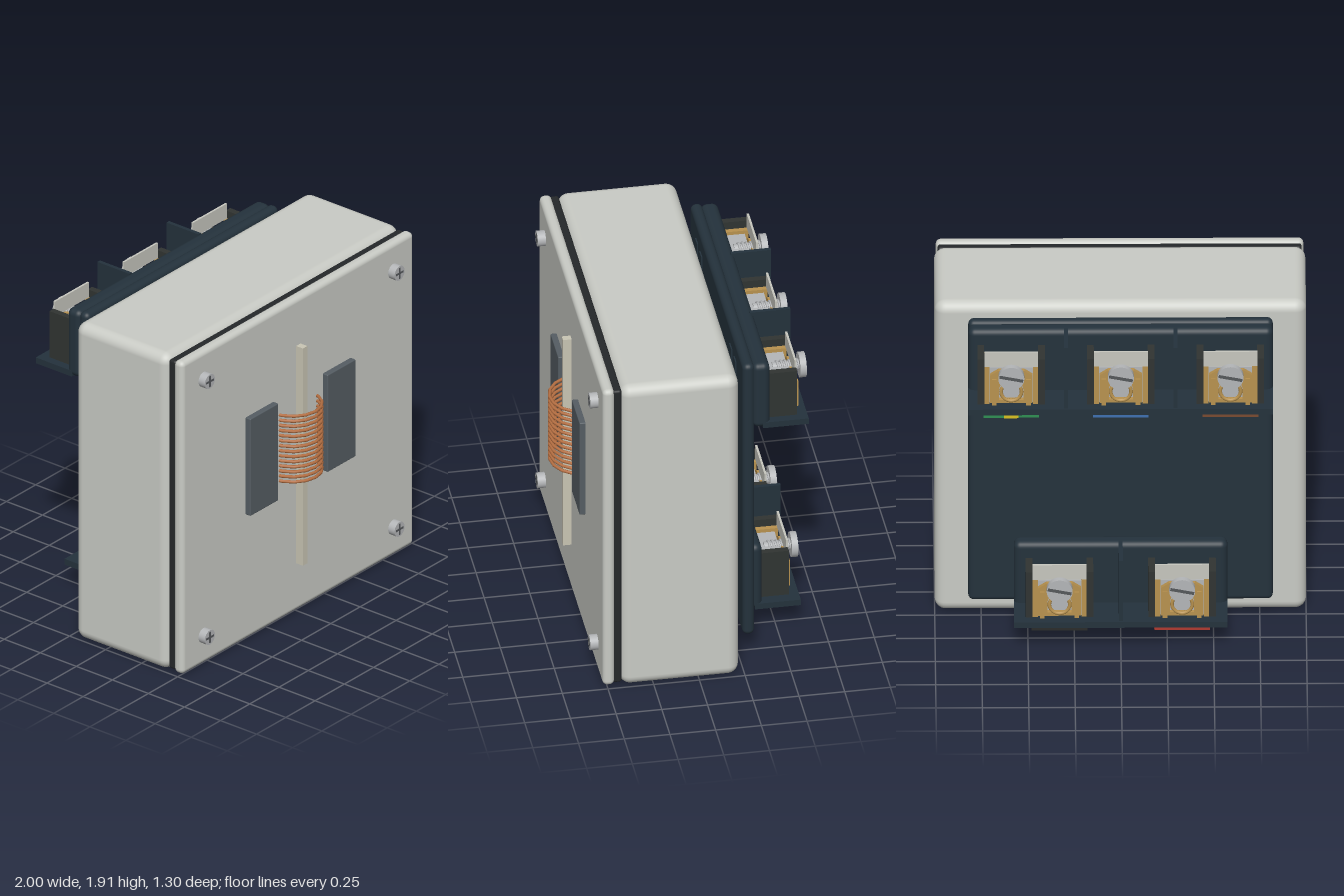
import * as THREE from 'three';
import { RoundedBoxGeometry } from 'three/addons/geometries/RoundedBoxGeometry.js';

const mat = (color) => new THREE.MeshStandardMaterial({ color });
const M = {
  shell: mat(0xc9cbc5), seal: mat(0x25282a), slate: mat(0x555d63), rod: mat(0xc9c5b4),
  copper: mat(0xb56f42), panel: mat(0x24323c), housing: mat(0x303432), brass: mat(0xb8924f),
  steel: mat(0xb4b6b8), slot: mat(0x55585b), label: mat(0xc6c6be), green: mat(0x2f8f52),
  yellow: mat(0xd8c020), blue: mat(0x3f70b0), brown: mat(0x7a4a30), black: mat(0x2a2c2a), red: mat(0xb03a30),
};

function add(parent, name, geometry, material, x = 0, y = 0, z = 0) {
  const mesh = new THREE.Mesh(geometry, material);
  mesh.name = name;
  mesh.position.set(x, y, z);
  parent.add(mesh);
  return mesh;
}

// Box given by its limits on each axis; r > 0 rounds the edges
function box(parent, name, material, [x0, x1], [y0, y1], [z0, z1], r = 0) {
  const s = [x1 - x0, y1 - y0, z1 - z0];
  const g = r ? new RoundedBoxGeometry(...s, 4, r) : new THREE.BoxGeometry(...s);
  return add(parent, name, g, material, (x0 + x1) / 2, (y0 + y1) / 2, (z0 + z1) / 2);
}

function group(parent, name, x = 0, y = 0, z = 0) {
  const g = new THREE.Group();
  g.name = name;
  g.position.set(x, y, z);
  parent.add(g);
  return g;
}

// Cylinder lying along z, centred on z
function disc(parent, name, material, r, depth, x, y, z, sides = 32) {
  return add(parent, name, new THREE.CylinderGeometry(r, r, depth, sides).rotateX(Math.PI / 2), material, x, y, z);
}

// Sampled helix about the y axis, or about z when alongZ is set
function helix(r, from, to, turns, wire, alongZ = false) {
  const pts = [], n = turns * 16;
  for (let i = 0; i <= n; i++) {
    const a = (i / 16) * Math.PI * 2, t = from + (to - from) * (i / n);
    pts.push(alongZ
      ? new THREE.Vector3(r * Math.cos(a), r * Math.sin(a), t)
      : new THREE.Vector3(r * Math.cos(a), t, r * Math.sin(a)));
  }
  return new THREE.TubeGeometry(new THREE.CatmullRomCurve3(pts), n, wire, 8);
}

// Brass clamp plate with an arched wire opening
function clampGeometry() {
  const s = new THREE.Shape();
  s.moveTo(-0.115, 0.05);
  s.lineTo(0.115, 0.05);
  s.lineTo(0.115, 0.22);
  s.lineTo(0.07, 0.25);
  s.lineTo(-0.07, 0.25);
  s.lineTo(-0.115, 0.22);
  s.closePath();
  const h = new THREE.Path();
  h.moveTo(-0.065, 0.07);
  h.lineTo(-0.065, 0.13);
  h.absarc(0, 0.13, 0.065, Math.PI, 0, true);
  h.lineTo(0.065, 0.07);
  h.closePath();
  s.holes.push(h);
  return new THREE.ExtrudeGeometry(s, { depth: 0.025, bevelEnabled: false, curveSegments: 16 });
}

// One screw terminal; y = 0 is the underside of its shelf
function terminal(parent, x, tag, striped) {
  const t = group(parent, 'terminal', x);
  for (const s of [-1, 1]) {
    const side = (a, b) => [Math.min(s * a, s * b), Math.max(s * a, s * b)];
    box(t, 'housingWall', M.housing, side(0.145, 0.182), [0.03, 0.315], [-0.575, -0.41]);
    box(t, 'brassCheek', M.brass, side(0.117, 0.145), [0.03, 0.27], [-0.57, -0.41]);
    box(t, 'clampLeg', M.brass, side(0.08, 0.105), [0.04, 0.2], [-0.595, -0.56]);
  }
  box(t, 'clampBody', M.steel, [-0.117, 0.117], [0.035, 0.25], [-0.55, -0.41]);
  add(t, 'clampPlate', clampGeometry(), M.brass, 0, 0, -0.585);
  add(t, 'wireRing', new THREE.TorusGeometry(0.055, 0.01, 8, 28), M.brass, 0, 0.12, -0.585);
  box(t, 'labelPlate', M.label, [-0.145, 0.145], [0.27, 0.36], [-0.578, -0.566]);
  // Slotted screw with its thread
  disc(t, 'screwShank', M.steel, 0.028, 0.16, 0, 0.235, -0.55, 16);
  add(t, 'screwThread', helix(0.03, -0.615, -0.48, 6, 0.007, true), M.steel, 0, 0.235, 0);
  disc(t, 'screwHead', M.steel, 0.07, 0.035, 0, 0.235, -0.631);
  const slot = add(t, 'screwSlot', new THREE.BoxGeometry(0.13, 0.018, 0.004), M.slot, 0, 0.235, -0.648);
  slot.rotation.z = 0.2;
  // Colour tag under the shelf
  box(t, 'colourTag', tag, [-0.15, 0.15], [-0.05, 0], [-0.57, -0.48]);
  if (striped) box(t, 'tagStripe', M.yellow, [-0.04, 0.04], [-0.052, 0], [-0.572, -0.478]);
}

function terminalRow(parent, name, y, half, dividers, terminals) {
  const row = group(parent, name, 0, y);
  box(row, 'rowBase', M.panel, [-half, half], [0, 0.405], [-0.42, -0.325], 0.035);
  box(row, 'shelf', M.panel, [-half, half], [0, 0.035], [-0.63, -0.38]);
  for (const x of dividers) box(row, 'divider', M.panel, [x - 0.011, x + 0.011], [0.03, 0.41], [-0.62, -0.4]);
  for (const [x, tag, striped] of terminals) terminal(row, x, tag, striped);
  for (const x of [-0.59, -0.46, 0.46, 0.59]) {
    if (Math.abs(x) < half) box(row, 'rearPad', M.panel, [x - 0.03, x + 0.03], [0.02, 0.31], [-0.3, -0.263]);
  }
}

export function createModel() {
  const model = new THREE.Group();
  model.name = 'junctionBox';

  // Enclosure: shell, gasket and lid
  box(model, 'enclosure', M.shell, [-1, 1], [0, 1.915], [-0.22, 0.43], 0.06);
  box(model, 'gasket', M.seal, [-0.98, 0.98], [0.02, 1.895], [0.42, 0.47], 0.015);
  box(model, 'lid', M.shell, [-0.99, 0.99], [0.01, 1.905], [0.46, 0.525], 0.028);

  // Lid screws with cross recesses
  for (const x of [-0.81, 0.81]) for (const y of [0.185, 1.74]) {
    const s = group(model, 'lidScrew', x, y, 0);
    disc(s, 'lidScrewHead', M.steel, 0.043, 0.055, 0, 0, 0.542);
    add(s, 'crossSlot', new THREE.BoxGeometry(0.066, 0.012, 0.004), M.slot, 0, 0, 0.569);
    add(s, 'crossSlot', new THREE.BoxGeometry(0.012, 0.066, 0.004), M.slot, 0, 0, 0.569);
  }

  // Rod, coil and side blocks on the lid
  box(model, 'rod', M.rod, [-0.019, 0.019], [0.3, 1.62], [0.51, 0.572]);
  add(model, 'coil', helix(0.17, 0.845, 1.275, 14, 0.009), M.copper, 0, 0, 0.472);
  box(model, 'rightBlock', M.slate, [-0.45, -0.21], [0.77, 1.36], [0.51, 0.558], 0.006);
  box(model, 'leftBlock', M.slate, [0.21, 0.45], [0.77, 1.36], [0.51, 0.558], 0.006);

  // Rear panel with its two terminal rows
  box(model, 'rearPanel', M.panel, [-0.82, 0.82], [0.135, 1.87], [-0.335, -0.27], 0.03);
  terminalRow(model, 'upperTerminals', 1.46, 0.82, [-0.295, 0.295],
    [[0.59, M.green, true], [0, M.blue], [-0.59, M.brown]]);
  terminalRow(model, 'lowerTerminals', 0.137, 0.575, [0], [[0.33, M.black], [-0.33, M.red]]);

  return model;
}
